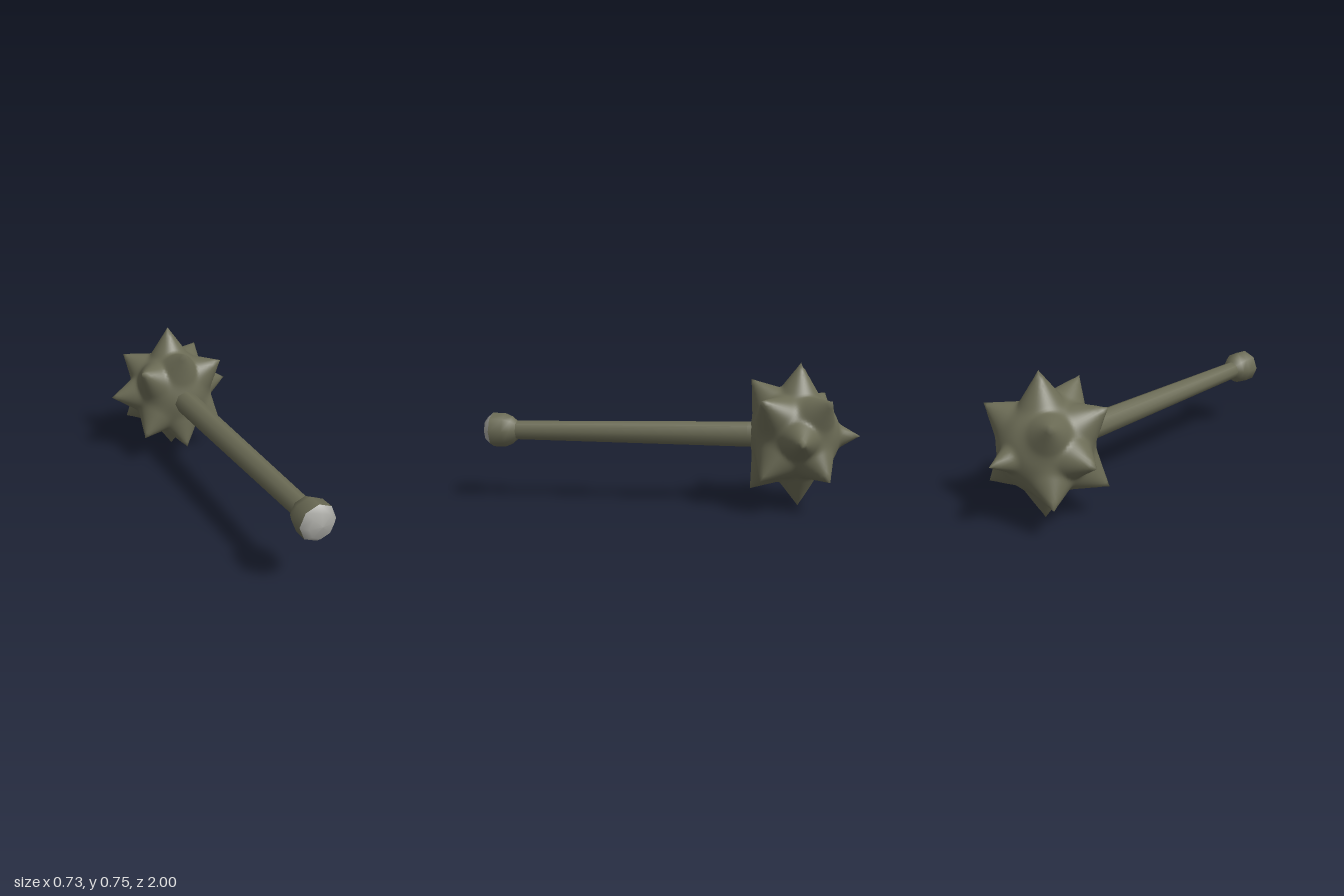
import * as THREE from 'three';
import { mergeVertices } from 'three/addons/utils/BufferGeometryUtils.js';

const CENTRE = new THREE.Vector3(0, 0.377, -0.665); // middle of the head
const CORE = 0.233;

// Spike tips relative to the head centre, each with a half-angle in degrees
function spikeList() {
  const list = [];
  const add = (x, y, z, deg) => {
    const tip = new THREE.Vector3(x, y, z);
    list.push({ tip, length: tip.length(), axis: tip.clone().normalize(), half: THREE.MathUtils.degToRad(deg) });
  };
  add(0, 0, -0.335, 30);
  for (const s of [-1, 1]) {
    add(s * 0.365, 0, -0.025, 34);
    add(0, s * 0.377, -0.025, 34);
    add(0, s * 0.29, 0.227, 36);
    for (const t of [-1, 1]) {
      add(s * 0.243, t * 0.202, 0.175, 37);
      add(s * 0.232, t * 0.202, -0.17, 37);
    }
  }
  return list;
}

// A ball whose surface is pulled out into blended cones
function headGeometry() {
  const spikes = spikeList();
  const source = new THREE.IcosahedronGeometry(1, 22);
  source.deleteAttribute('uv');
  source.deleteAttribute('normal');
  const geometry = mergeVertices(source, 1e-4);
  const pos = geometry.attributes.position;
  const v = new THREE.Vector3();
  const nearest = spikes.map(() => ({ dot: -1, index: 0 }));
  const blend = 0.015;
  for (let i = 0; i < pos.count; i++) {
    v.fromBufferAttribute(pos, i).normalize();
    let r = CORE;
    spikes.forEach((s, k) => {
      const dot = v.dot(s.axis);
      if (dot > nearest[k].dot) nearest[k] = { dot, index: i };
      const angle = Math.acos(THREE.MathUtils.clamp(dot, -1, 1));
      if (angle > Math.PI / 2 - s.half) return;
      const cone = s.length * Math.sin(s.half) / Math.sin(s.half + angle);
      const h = Math.max(blend - Math.abs(r - cone), 0) / blend;
      r = Math.max(r, cone) + h * h * blend / 4;
    });
    v.multiplyScalar(r);
    pos.setXYZ(i, v.x, v.y, v.z);
  }
  // Sharpen each spike by putting its nearest vertex on the tip
  spikes.forEach((s, k) => pos.setXYZ(nearest[k].index, s.tip.x, s.tip.y, s.tip.z));
  geometry.computeVertexNormals();
  return geometry;
}

// Octagonal turned part along z, from [radius, z] pairs
function turned(name, profile, material) {
  const points = profile.map(([r, z]) => new THREE.Vector2(r, z));
  const geometry = new THREE.LatheGeometry(points, 8);
  geometry.rotateX(Math.PI / 2);
  const mesh = new THREE.Mesh(geometry, material);
  mesh.name = name;
  mesh.position.y = 0.377;
  return mesh;
}

export function createModel() {
  const olive = new THREE.MeshStandardMaterial({ color: 0x6b6b55 });
  olive.name = 'olive';
  const grey = new THREE.MeshStandardMaterial({ color: 0xa6a6a1 });
  grey.name = 'grey';

  const group = new THREE.Group();
  group.name = 'spikedMace';

  const head = new THREE.Mesh(headGeometry(), olive);
  head.name = 'spikedHead';
  head.position.copy(CENTRE);
  group.add(head);

  group.add(turned('handle', [[0.068, -0.52], [0.067, -0.42], [0.051, 0.84]], olive));
  group.add(turned('pommel', [[0.051, 0.825], [0.075, 0.85], [0.092, 0.89], [0.093, 0.96]], olive));
  group.add(turned('pommelCap', [[0.093, 0.96], [0.064, 0.992], [0, 1]], grey));
  return group;
}
